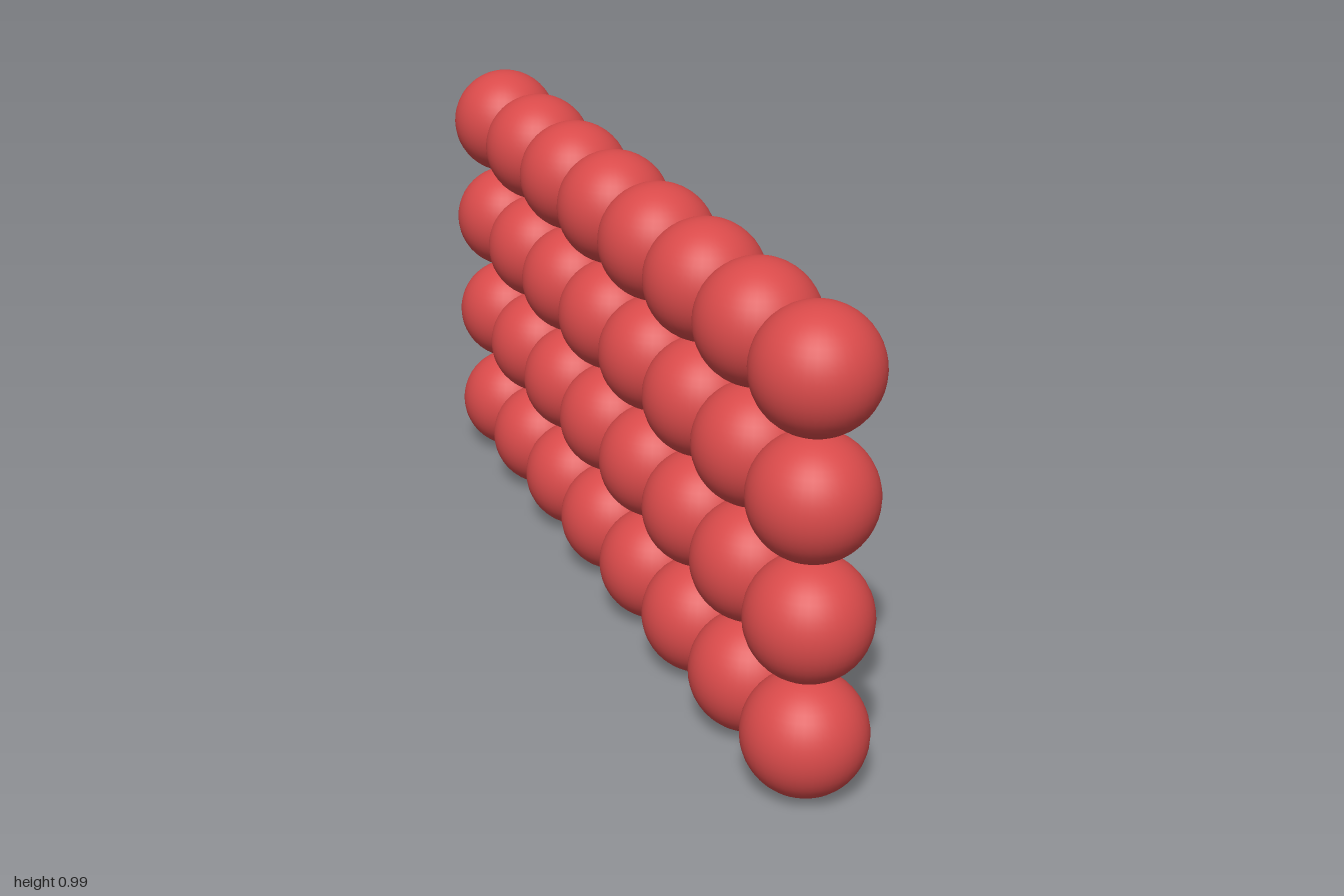
import * as THREE from 'three';

const ROWS = 4;
const COLUMNS = 8;
const RADIUS = 0.1245;
const STEP_Y = 0.2475;
const STEP_Z = 0.25;

export function createModel() {
  const group = new THREE.Group();
  group.name = 'ballWall';
  const geometry = new THREE.SphereGeometry(RADIUS, 40, 24);
  const material = new THREE.MeshStandardMaterial({ color: 0xd94a4a });

  // Upright grid of touching balls, one ball thick
  for (let row = 0; row < ROWS; row++) {
    const rowGroup = new THREE.Group();
    rowGroup.name = `ballRow${row + 1}`;
    rowGroup.position.y = 0.127 + row * STEP_Y;
    for (let column = 0; column < COLUMNS; column++) {
      const ball = new THREE.Mesh(geometry, material);
      ball.name = `ball${column + 1}`;
      ball.position.z = (column - (COLUMNS - 1) / 2) * STEP_Z;
      rowGroup.add(ball);
    }
    group.add(rowGroup);
  }
  return group;
}
